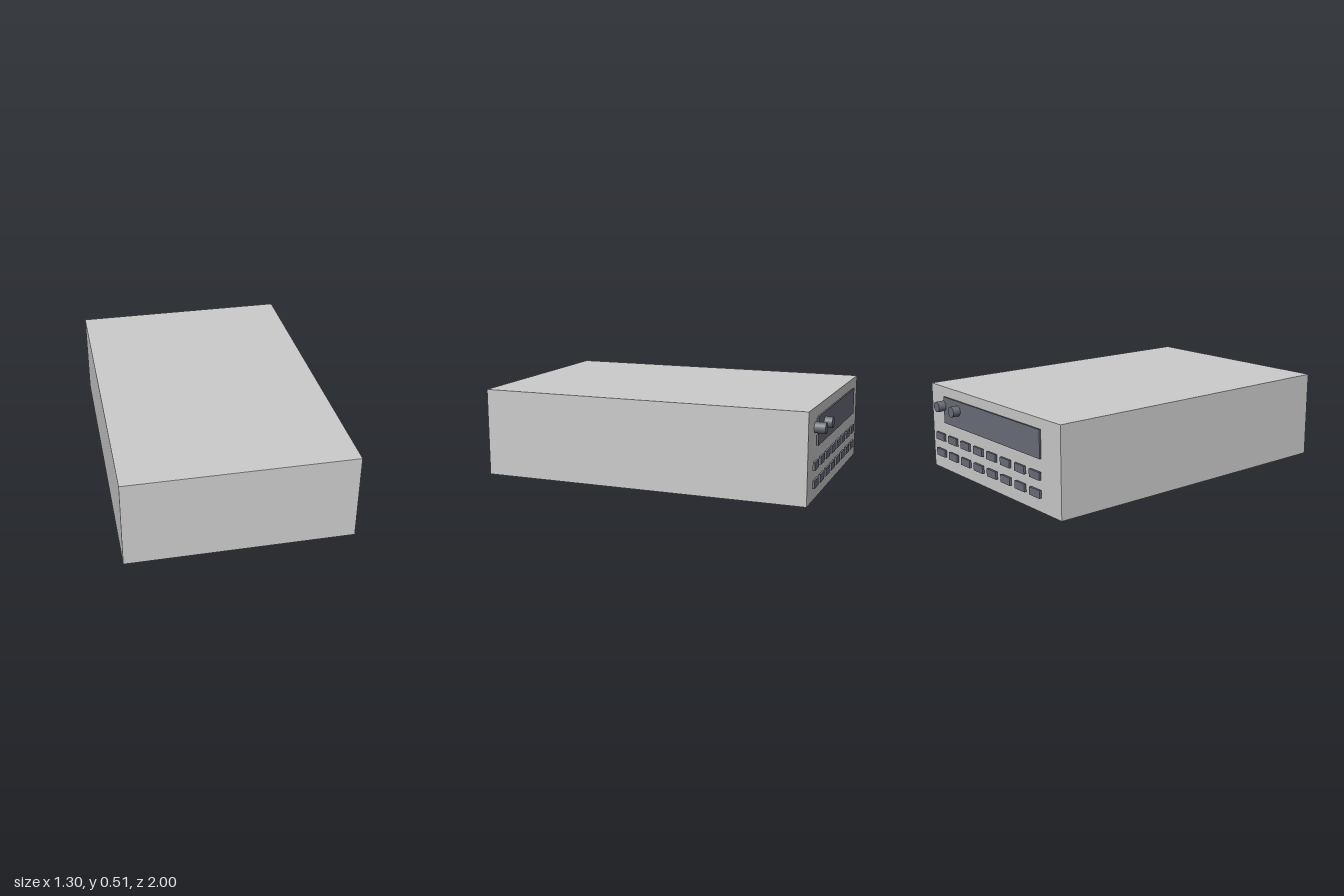
import * as THREE from 'three';

export function createModel() {
  const model = new THREE.Group();
  model.name = 'rackInstrument';
  const grey = new THREE.MeshStandardMaterial({ color: 0xcccccc });
  const dark = new THREE.MeshStandardMaterial({ color: 0x6a6d79 });

  const add = (name, geometry, material, x, y, z) => {
    const mesh = new THREE.Mesh(geometry, material);
    mesh.name = name;
    mesh.position.set(x, y, z);
    model.add(mesh);
    return mesh;
  };

  // Plain rectangular case
  const backZ = -0.938;
  add('case', new THREE.BoxGeometry(1.3, 0.515, 1 - backZ), grey, 0, 0.2575, (1 + backZ) / 2);

  // Display plate standing just off the control face
  add('display', new THREE.BoxGeometry(0.975, 0.16, 0.01), dark, 0, 0.38, -0.95);

  // Two rows of eight push buttons
  const buttonGeometry = new THREE.BoxGeometry(0.093, 0.045, 0.013);
  [0.207, 0.107].forEach((y, row) => {
    for (let i = 0; i < 8; i++) {
      add(`button${row + 1}_${i + 1}`, buttonGeometry, dark, -0.442 + i * 0.1395, y, -0.956);
    }
  });

  // Pair of round knobs pointing backwards
  const knobGeometry = new THREE.CylinderGeometry(0.031, 0.031, 0.062, 24).rotateX(Math.PI / 2);
  [0.33, 0.493].forEach((x, i) => add(`knob${i + 1}`, knobGeometry, dark, x, 0.403, -0.969));

  return model;
}
